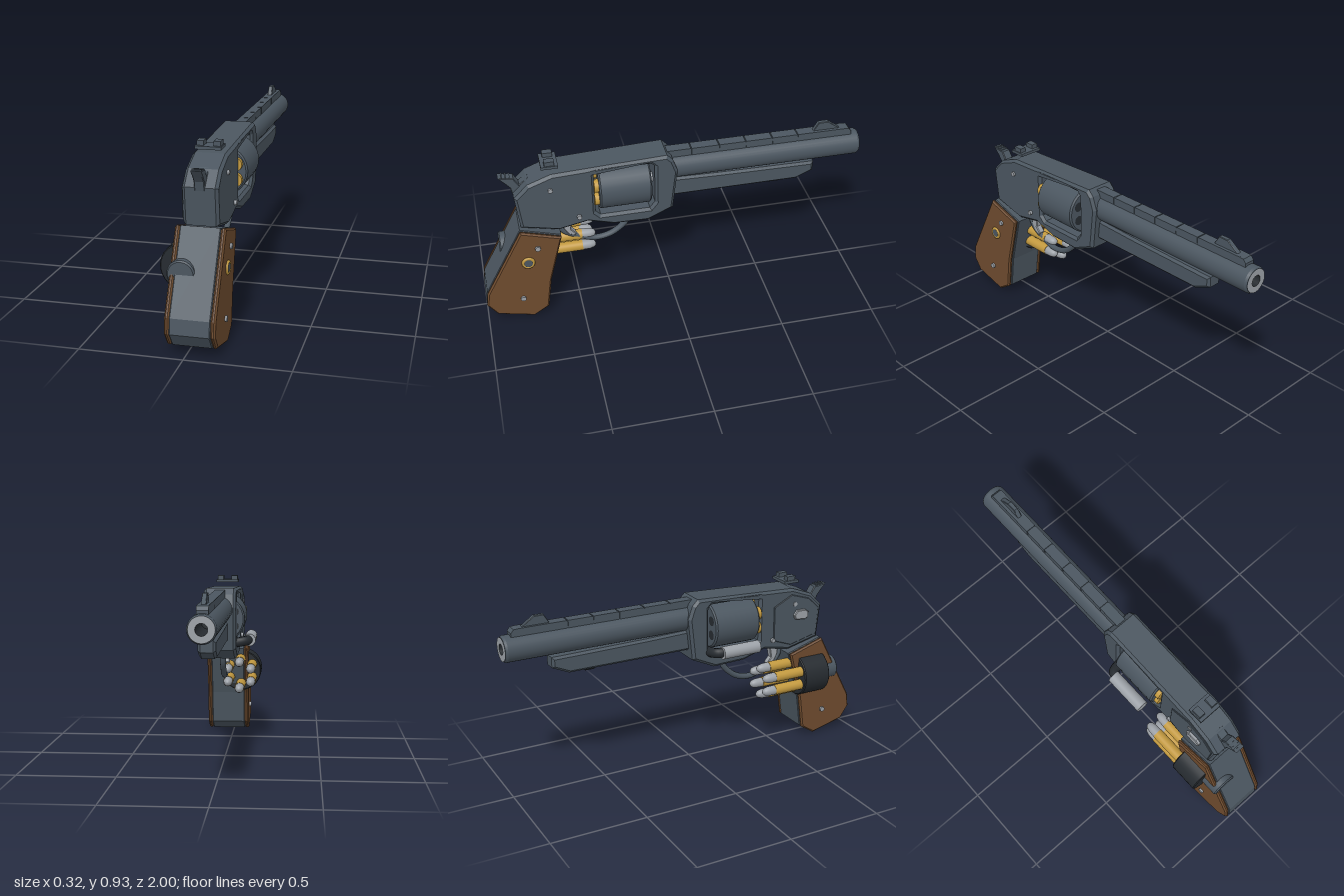
import * as THREE from 'three';

const CX = 0.03; // the mechanism's centre line
const mat = (color) => new THREE.MeshStandardMaterial({ color });
const V = (x, y, z) => new THREE.Vector3(x, y, z);

export function createModel() {
  const g = new THREE.Group();
  const slate = mat(0x4b5660), dark = mat(0x262b30), wood = mat(0x6e4b2e);
  const brass = mat(0xc2993f), steel = mat(0x9ca1a7);

  const add = (name, geo, m, x = 0, y = 0, z = 0, parent = g) => {
    const mesh = new THREE.Mesh(geo, m);
    mesh.name = name;
    mesh.position.set(x, y, z);
    parent.add(mesh);
  };
  const box = (name, m, w, h, d, x, y, z) => add(name, new THREE.BoxGeometry(w, h, d), m, x, y, z);
  // side profile in [z, y] points, extruded from x0 to x1 with bevelled edges
  const slab = (name, m, pts, x0, x1, b = 0, hole = null) => {
    const to2 = (list) => list.map(([z, y]) => new THREE.Vector2(-z, y));
    const shape = new THREE.Shape(to2(pts));
    if (hole) shape.holes.push(new THREE.Path(to2(hole)));
    const geo = new THREE.ExtrudeGeometry(shape, {
      depth: x1 - x0 - 2 * b, bevelEnabled: b > 0, bevelSize: b, bevelThickness: b,
      bevelOffset: -b, bevelSegments: 1,
    });
    add(name, geo.rotateY(Math.PI / 2), m, x0 + b);
  };
  // turned part along z from [radius, z] points; doubled points keep edges sharp
  const turned = (name, m, pts, x, y, parent = g, sharp = true) => {
    const profile = pts.flatMap((p, i) => {
      const inner = i > 0 && i < pts.length - 1;
      return (sharp && inner ? [p, p] : [p]).map(([r, z]) => new THREE.Vector2(r, z));
    });
    add(name, new THREE.LatheGeometry(profile, 32).rotateX(Math.PI / 2), m, x, y, 0, parent);
  };
  // plain rod between two z positions
  const rod = (name, m, r, z0, z1, x, y, parent = g) =>
    turned(name, m, [[0, z0], [r, z0], [r, z1], [0, z1]], x, y, parent);
  // short round stud along x
  const stud = (name, m, r, len, x, y, z) =>
    add(name, new THREE.CylinderGeometry(r, r, len, 16).rotateZ(Math.PI / 2), m, x, y, z);
  const tube = (name, m, pts, r) =>
    add(name, new THREE.TubeGeometry(new THREE.CatmullRomCurve3(pts), 32, r, 10), m);

  // frame with cylinder window
  slab('frame', slate, [
    [0.8, 0.76], [0.78, 0.575], [0.59, 0.53], [0.44, 0.56], [0.31, 0.52], [0.13, 0.515],
    [0, 0.575], [-0.025, 0.8], [0, 0.87], [0.03, 0.9], [0.61, 0.875], [0.73, 0.83],
  ], -0.055, 0.115, 0.014, [
    [0.4, 0.615], [0.4, 0.845], [0.385, 0.862], [0.11, 0.862], [0.093, 0.845],
    [0.093, 0.625], [0.12, 0.59], [0.375, 0.59],
  ]);
  slab('sidePlate', slate, [
    [0.775, 0.75], [0.765, 0.6], [0.6, 0.56], [0.49, 0.6], [0.49, 0.79], [0.6, 0.845], [0.71, 0.81],
  ], -0.061, -0.05, 0.003);
  slab('thumbRelease', steel, [
    [0.7, 0.71], [0.68, 0.7], [0.62, 0.705], [0.61, 0.73], [0.63, 0.755], [0.68, 0.755], [0.7, 0.74],
  ], -0.077, -0.055, 0.004);

  // barrel with pale crown and inward-facing bore
  turned('barrel', slate, [[0.028, -0.997], [0.06, -0.997], [0.067, -0.985], [0.067, 0.02], [0, 0.02]], CX, 0.79);
  add('muzzleCrown', new THREE.RingGeometry(0.028, 0.06, 32).rotateY(Math.PI), steel, CX, 0.79, -1);
  turned('bore', dark, [[0, -0.7], [0.028, -0.7], [0.028, -1]], CX, 0.79);

  // segmented top rib
  const cuts = [0.03, -0.105, -0.25, -0.39, -0.53, -0.665, -0.92];
  for (let i = 0; i < cuts.length - 1; i++) {
    const len = cuts[i] - cuts[i + 1];
    box('ribSegment', slate, 0.055, 0.055, len - 0.005, CX, 0.8625, cuts[i] - len / 2);
  }
  box('ribCore', slate, 0.05, 0.045, 0.93, CX, 0.862, -0.45);
  slab('ribTip', slate, [[-0.915, 0.84], [-0.915, 0.89], [-0.94, 0.888], [-0.955, 0.87], [-0.955, 0.84]], 0.0025, 0.0575);
  slab('frontSight', slate, [[-0.75, 0.885], [-0.78, 0.935], [-0.83, 0.935], [-0.9, 0.885]], 0.018, 0.042, 0.003);

  // under-barrel lug and its latch
  slab('underLug', slate, [
    [0.02, 0.73], [0.02, 0.62], [-0.67, 0.62], [-0.76, 0.66], [-0.76, 0.715], [-0.25, 0.722],
  ], -0.012, 0.072, 0.012);
  box('lugLatch', dark, 0.035, 0.014, 0.05, CX, 0.616, -0.555);

  // rear sight
  box('rearSightBase', slate, 0.125, 0.015, 0.085, CX, 0.907, 0.612);
  for (const s of [-1, 1]) box('rearSightBlade', slate, 0.034, 0.025, 0.05, CX + s * 0.04, 0.925, 0.612);

  // hammer with spur
  slab('hammer', slate, [
    [0.865, 0.855], [0.79, 0.845], [0.765, 0.805], [0.72, 0.835], [0.7, 0.75], [0.8, 0.745], [0.81, 0.79], [0.83, 0.815],
  ], 0.005, 0.055, 0.004);
  for (let i = 0; i < 3; i++) box('spurRidge', slate, 0.046, 0.008, 0.007, CX, 0.854 - i * 0.003, 0.845 - i * 0.018);

  // revolving cylinder with chambers and cartridge rims
  turned('cylinder', slate, [[0, 0.115], [0.117, 0.115], [0.125, 0.123], [0.125, 0.372], [0.117, 0.38], [0, 0.38]], CX, 0.73);
  rod('cylinderPin', steel, 0.025, 0.08, 0.41, CX, 0.73);
  for (let i = 0; i < 6; i++) {
    const a = Math.PI / 6 + i * Math.PI / 3;
    const x = CX + 0.078 * Math.cos(a), y = 0.73 + 0.078 * Math.sin(a);
    rod('cartridgeRim', brass, 0.034, 0.37, 0.403, x, y);
    add('chamber', new THREE.CircleGeometry(0.026, 20).rotateY(Math.PI), dark, x, y, 0.114);
  }

  // crane arm and swung-out ejector rod
  tube('craneArm', dark, [V(0.03, 0.6, 0.1), V(-0.05, 0.605, 0.1), V(-0.1, 0.613, 0.115), V(-0.115, 0.615, 0.15)], 0.026);
  rod('ejectorRod', steel, 0.033, 0.135, 0.352, -0.12, 0.615);

  // trigger and guard
  tube('triggerGuard', slate, [
    V(CX, 0.53, 0.215), V(CX, 0.475, 0.23), V(CX, 0.405, 0.31), V(CX, 0.387, 0.4),
    V(CX, 0.41, 0.47), V(CX, 0.465, 0.565), V(CX, 0.55, 0.6),
  ], 0.016);
  slab('trigger', steel, [
    [0.57, 0.56], [0.565, 0.49], [0.54, 0.445], [0.505, 0.43], [0.5, 0.445], [0.525, 0.475], [0.51, 0.56],
  ], 0.012, 0.048, 0.004);

  // grip core and wooden panels
  const grip = [
    [0.79, 0.575], [0.585, 0.512], [0.655, 0.24], [0.68, 0.06], [0.76, 0.008],
    [0.95, 0.055], [1, 0.125], [0.99, 0.2],
  ];
  slab('gripCore', slate, grip, -0.066, 0.126, 0.004);
  slab('gripPanelLeft', wood, grip, 0.126, 0.15, 0.008);
  slab('gripPanelRight', wood, grip, -0.09, -0.066, 0.008);

  // screws on both sides, medallion on one
  for (const s of [-1, 1]) {
    stud('gripScrew', steel, 0.014, 0.02, CX + s * 0.12, 0.465, 0.71);
    stud('gripScrew', steel, 0.014, 0.02, CX + s * 0.12, 0.145, 0.81);
    stud('frameScrew', steel, 0.012, 0.02, CX + s * 0.085, 0.79, 0.62);
    stud('frameScrew', steel, 0.012, 0.025, CX + s * 0.086, 0.605, 0.485);
  }
  stud('medallion', slate, 0.024, 0.014, 0.151, 0.38, 0.765);
  add('medallionRing', new THREE.TorusGeometry(0.027, 0.008, 8, 28).rotateY(Math.PI / 2), brass, 0.152, 0.38, 0.765);

  // round holder: body, knob and ring of six rounds
  const holder = new THREE.Group();
  holder.name = 'roundHolder';
  holder.position.set(-0.047, 0.375, 0);
  g.add(holder);
  turned('holderBody', dark, [[0, 0.64], [0.112, 0.64], [0.117, 0.645], [0.117, 0.795], [0.112, 0.8], [0, 0.8]], 0, 0, holder);
  turned('holderKnob', slate, [[0, 0.79], [0.067, 0.79], [0.067, 0.89], [0.06, 0.897], [0, 0.897]], 0.01, 0, holder);
  for (let i = 0; i < 6; i++) {
    const a = Math.PI / 2 + i * Math.PI / 3;
    const x = 0.075 * Math.cos(a), y = 0.075 * Math.sin(a);
    rod('roundCase', brass, 0.028, 0.468, 0.65, x, y, holder);
    turned('roundTip', steel, [[0, 0.396], [0.01, 0.398], [0.019, 0.407], [0.025, 0.43], [0.026, 0.468]], x, y, holder, false);
  }
  return g;
}
